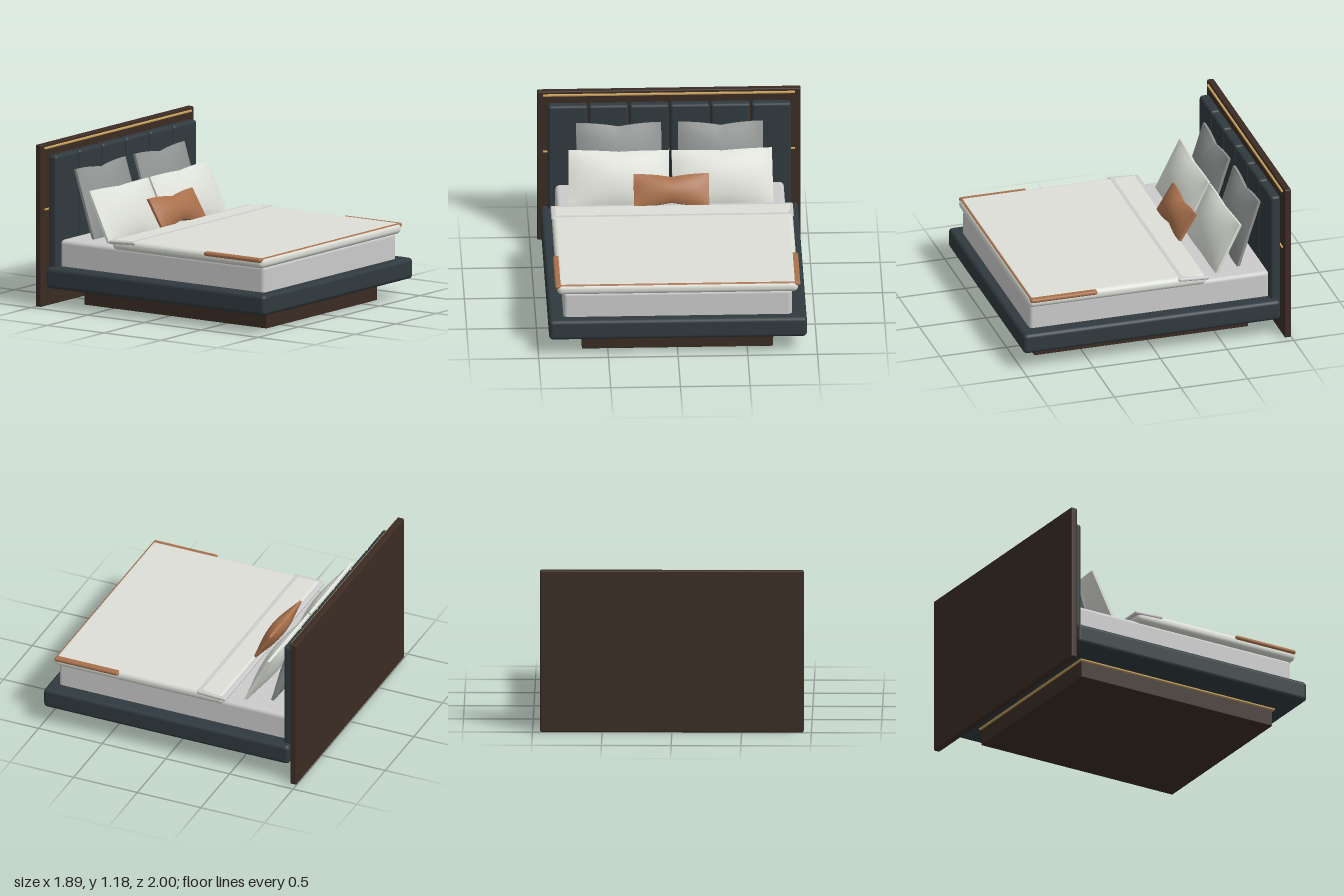
import * as THREE from 'three';
import { RoundedBoxGeometry } from 'three/addons/geometries/RoundedBoxGeometry.js';

const mat = (color) => new THREE.MeshStandardMaterial({ color });
const wood = mat(0x3b2c24), brass = mat(0xc9a05a), slate = mat(0x303a3e);
const linen = mat(0xdcdfd7), mattressGrey = mat(0xcccccc), sheetGrey = mat(0xd2d2d6);
const charcoal = mat(0x8c908e), copper = mat(0xa8704c);

// Rounded box given by its limits on each axis
function block(name, material, [x0, x1], [y0, y1], [z0, z1], radius) {
  const geometry = new RoundedBoxGeometry(x1 - x0, y1 - y0, z1 - z0, 4, radius);
  const mesh = new THREE.Mesh(geometry, material);
  mesh.name = name;
  mesh.position.set((x0 + x1) / 2, (y0 + y1) / 2, (z0 + z1) / 2);
  return mesh;
}

// Cushion: a thin slab swollen towards its middle, with pinched top and bottom edges
function pillow(name, material, width, height, thickness, pinch) {
  const geometry = new THREE.BoxGeometry(width, height, 1, 16, 12, 1);
  const p = geometry.attributes.position;
  for (let i = 0; i < p.count; i++) {
    const u = p.getX(i) / (width / 2), v = p.getY(i) / (height / 2);
    const swell = Math.pow(Math.max(0, (1 - u * u) * (1 - v * v)), 0.8);
    const half = 0.01 + (thickness / 2 - 0.01) * swell;
    p.setY(i, p.getY(i) - v * pinch * (1 - Math.abs(u)) ** 2);
    p.setZ(i, Math.sign(p.getZ(i)) * half);
  }
  geometry.computeVertexNormals();
  const mesh = new THREE.Mesh(geometry, material);
  mesh.name = name;
  return mesh;
}

function place(mesh, x, y, z, lean, roll = 0) {
  mesh.position.set(x, y, z);
  mesh.rotation.set(-lean, 0, roll);
  return mesh;
}

export function createModel() {
  const bed = new THREE.Group();
  bed.name = 'bed';

  // Plinth, brass reveal and upholstered frame
  bed.add(
    block('plinth', wood, [-0.685, 0.685], [0, 0.125], [-0.755, 0.85], 0.004),
    block('plinthTrim', brass, [-0.7, 0.7], [0.124, 0.136], [-0.77, 0.865], 0.003),
    block('frame', slate, [-0.925, 0.925], [0.138, 0.29], [-0.93, 1], 0.03),
  );

  // Headboard slab, trim and padded channels
  bed.add(
    block('headboard', wood, [-0.945, 0.945], [0, 1.18], [-1, -0.95], 0.01),
    block('headboardTrim', brass, [-0.905, 0.905], [1.145, 1.16], [-0.955, -0.936], 0.004),
    block('headboardBacking', brass, [-0.905, 0.905], [0.7, 0.712], [-0.955, -0.938], 0.004),
  );
  const pitch = 0.292;
  for (let i = 0; i < 6; i++) {
    const x = (i - 2.5) * pitch;
    bed.add(block('headboardPad', slate, [x - 0.142, x + 0.142], [0.16, 1.1], [-0.943, -0.868], 0.022));
  }

  // Mattress and bedding
  bed.add(
    block('mattress', mattressGrey, [-0.82, 0.82], [0.24, 0.482], [-0.875, 0.925], 0.03),
    block('duvet', linen, [-0.865, 0.865], [0.467, 0.546], [-0.39, 0.943], 0.036),
    block('throw', copper, [-0.88, 0.88], [0.514, 0.544], [0.432, 0.933], 0.014),
  );
  const fold = block('sheetFold', sheetGrey, [-0.87, 0.87], [0.514, 0.542], [-0.41, -0.18], 0.013);
  fold.rotation.x = -0.05;
  bed.add(fold);

  // Two pairs of pillows and the small front cushion
  for (const s of [-1, 1]) {
    bed.add(
      place(pillow('backPillow', charcoal, 0.61, 0.53, 0.13, 0.028), s * 0.365, 0.724, -0.765, 0.31),
      place(pillow('frontPillow', linen, 0.72, 0.41, 0.125, 0.012), s * 0.372, 0.652, -0.592, 0.46, s * 0.015),
    );
  }
  bed.add(place(pillow('accentCushion', copper, 0.54, 0.235, 0.11, 0.025), 0, 0.635, -0.43, 0.55));

  return bed;
}
